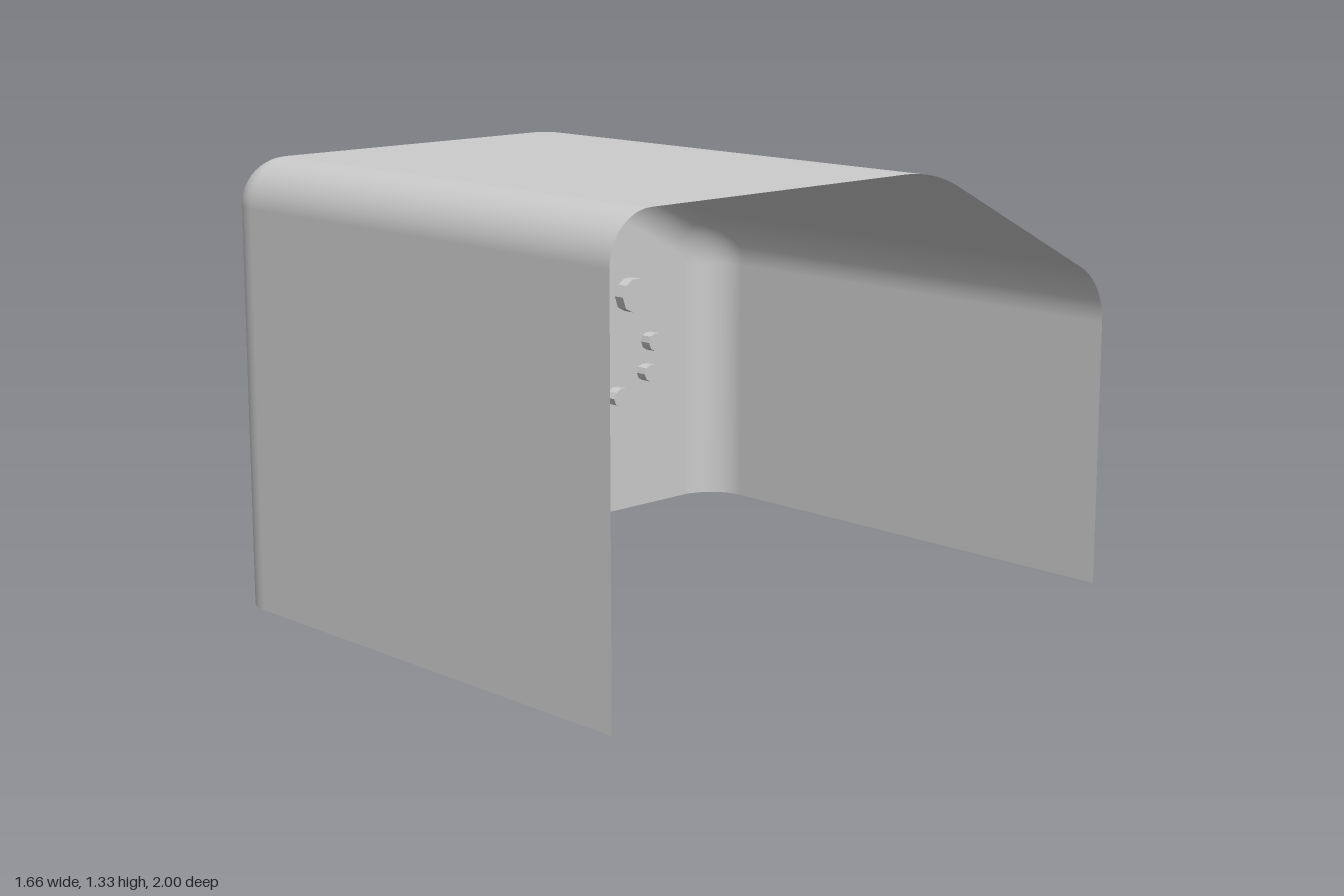
import * as THREE from 'three';

const HALF = 0.83, R = 0.14, RECESS = 0.04, REVEAL = 0.1;
const mat = new THREE.MeshStandardMaterial({ color: 0xcccccc, side: THREE.DoubleSide });

function add(parent, name, geo) {
  const mesh = new THREE.Mesh(geo, mat);
  mesh.name = name;
  parent.add(mesh);
  return mesh;
}

// Side outline in (z, y): each sample is an arc centre, a radius and an outward angle
function profileSamples() {
  const out = [];
  const arc = (z, y, r, a0, a1, n) => {
    for (let i = 0; i <= n; i++) {
      const a = THREE.MathUtils.degToRad(a0 + (a1 - a0) * i / n);
      out.push({ z, y, r, nz: Math.cos(a), ny: Math.sin(a) });
    }
  };
  arc(0.86, 0, 0.14, 0, 0, 0 || 1);
  arc(0.86, 1.193, 0.14, 0, 90, 12);
  arc(-0.092, 0.833, 0.5, 90, 116.6, 8);
  arc(-0.8, 0.811, 0.2, 116.6, 180, 10);
  arc(-0.8, 0, 0.2, 180, 180, 1);
  return out;
}
const samples = profileSamples();
const inset = (s, d) => [s.z + (s.r - d) * s.nz, s.y + (s.r - d) * s.ny];

// Front, roof, slope and back as one skin, rolled over towards the end wall
function shellGeometry() {
  const pos = [], nor = [], idx = [], steps = 12, n = samples.length;
  const row = (x, a) => samples.forEach((s) => {
    const [z, y] = inset(s, R * (1 - Math.cos(a)));
    pos.push(x, y, z);
    nor.push(-Math.sin(a), s.ny * Math.cos(a), s.nz * Math.cos(a));
  });
  row(HALF, 0);
  for (let i = 0; i <= steps; i++) {
    const a = (Math.PI / 2) * i / steps;
    row(-HALF + R * (1 - Math.sin(a)), a);
  }
  for (let i = 0; i <= steps; i++) {
    for (let j = 0; j < n - 1; j++) {
      const a = i * n + j, c = a + n;
      idx.push(a, a + 1, c, a + 1, c + 1, c);
    }
  }
  const g = new THREE.BufferGeometry();
  g.setAttribute('position', new THREE.Float32BufferAttribute(pos, 3));
  g.setAttribute('normal', new THREE.Float32BufferAttribute(nor, 3));
  g.setIndex(idx);
  return g;
}

// Broken plaster patches, outlines in (z, y)
const upperPatch = [[0.74, 1.02], [0.675, 1.015], [0.57, 1.025], [0.49, 1.05], [0.48, 1.01], [0.51, 0.99],
  [0.55, 1.01], [0.58, 0.995], [0.605, 0.965], [0.6, 0.935], [0.57, 0.9], [0.595, 0.86], [0.65, 0.86],
  [0.71, 0.885], [0.72, 0.925], [0.71, 0.955], [0.69, 0.985], [0.735, 0.995]];
const largePatch = [[0.49, 0.93], [0.46, 0.965], [0.405, 0.99], [0.365, 0.97], [0.325, 0.93], [0.32, 0.89],
  [0.345, 0.835], [0.375, 0.8], [0.41, 0.785], [0.46, 0.78], [0.55, 0.765], [0.55, 0.785], [0.525, 0.815],
  [0.535, 0.885], [0.53, 0.915]];
const lowerPatch = [[0.65, 0.46], [0.595, 0.475], [0.575, 0.45], [0.525, 0.485], [0.505, 0.505], [0.44, 0.5],
  [0.425, 0.465], [0.44, 0.42], [0.49, 0.41], [0.545, 0.42], [0.55, 0.39], [0.515, 0.36], [0.53, 0.33],
  [0.505, 0.315], [0.54, 0.29], [0.64, 0.29], [0.64, 0.31], [0.595, 0.34], [0.585, 0.385], [0.6, 0.42], [0.625, 0.415]];
const doorPatch = [[0.025, 0.757], [0.015, 0.8], [-0.02, 0.835], [-0.06, 0.85], [-0.105, 0.84], [-0.135, 0.815], [-0.145, 0.757]];
// Small round dents: z, y, half width, half height
const dents = [[0.64, 0.735, 0.048, 0.042], [-0.41, 0.86, 0.03, 0.032], [-0.595, 0.74, 0.053, 0.06],
  [-0.36, 0.54, 0.042, 0.038], [-0.535, 0.4, 0.035, 0.032], [-0.69, 0.57, 0.03, 0.032], [-0.67, 0.465, 0.03, 0.03]];
// Brick joints: z, y, length
const joints = [[0.41, 0.93, 0.15], [0.47, 0.89, 0.07], [0.4, 0.89, 0.04], [0.46, 0.855, 0.06], [0.37, 0.85, 0.04],
  [0.43, 0.82, 0.06], [0.5, 0.8, 0.04], [0.68, 0.99, 0.03], [0.65, 0.955, 0.03], [0.69, 0.92, 0.02], [0.63, 0.89, 0.04],
  [0.47, 0.48, 0.05], [0.46, 0.445, 0.04], [0.59, 0.31, 0.04], [-0.055, 0.81, 0.03], [-0.06, 0.78, 0.04], [0.64, 0.73, 0.03]];

function dentOutline([z, y, w, h]) {
  return Array.from({ length: 9 }, (_, i) => {
    const a = i / 9 * Math.PI * 2, k = 1 + 0.06 * Math.sin(i * 2.3 + z * 9);
    return [z + w * k * Math.cos(a), y + h * k * Math.sin(a)];
  });
}

// Sides of a recess, facing into the hole
function rimGeometry(pts) {
  const pos = [];
  pts.forEach((p, i) => {
    const q = pts[(i + 1) % pts.length];
    pos.push(p.x, p.y, 0, q.x, q.y, 0, q.x, q.y, -RECESS, p.x, p.y, 0, q.x, q.y, -RECESS, p.x, p.y, -RECESS);
  });
  const g = new THREE.BufferGeometry();
  g.setAttribute('position', new THREE.Float32BufferAttribute(pos, 3));
  g.computeVertexNormals();
  return g;
}

export function createModel() {
  const model = new THREE.Group();
  model.name = 'shelter';
  add(model, 'shell', shellGeometry());

  // End wall group: local x runs along z, local z points out of the wall
  const end = new THREE.Group();
  end.name = 'endWall';
  end.rotation.y = -Math.PI / 2;
  end.position.x = -HALF;
  model.add(end);

  const door = { back: -0.15, front: 0.405, top: 0.75 };
  const outline = samples.map((s) => inset(s, R))
    .filter((p, i, all) => !i || Math.hypot(p[0] - all[i - 1][0], p[1] - all[i - 1][1]) > 1e-4);
  outline.push([door.back, 0], [door.back, door.top], [door.front, door.top], [door.front, 0]);
  const wall = new THREE.Shape(outline.map((p) => new THREE.Vector2(...p)));

  // Recessed patches and dents
  const patches = [upperPatch, largePatch, lowerPatch, doorPatch, ...dents.map(dentOutline)];
  for (const patch of patches) {
    const pts = patch.map((p) => new THREE.Vector2(...p));
    if (THREE.ShapeUtils.isClockWise(pts)) pts.reverse();
    wall.holes.push(new THREE.Path(pts));
    add(end, 'patchRim', rimGeometry(pts));
    add(end, 'patchFloor', new THREE.ShapeGeometry(new THREE.Shape(pts))).position.z = -RECESS;
  }
  add(end, 'wallFace', new THREE.ShapeGeometry(wall));

  for (const [z, y, length] of joints) {
    add(end, 'brickJoint', new THREE.BoxGeometry(length, 0.005, 0.012)).position.set(z, y, -RECESS);
  }

  // Doorway reveal, running inwards from the wall
  for (const [z, turn] of [[door.back, 1], [door.front, -1]]) {
    const jamb = add(end, 'doorJamb', new THREE.PlaneGeometry(REVEAL, door.top));
    jamb.rotation.y = turn * Math.PI / 2;
    jamb.position.set(z, door.top / 2, -REVEAL / 2);
  }
  const lintel = add(end, 'doorLintel', new THREE.PlaneGeometry(door.front - door.back, REVEAL));
  lintel.rotation.x = Math.PI / 2;
  lintel.position.set((door.front + door.back) / 2, door.top, -REVEAL / 2);

  return model;
}
